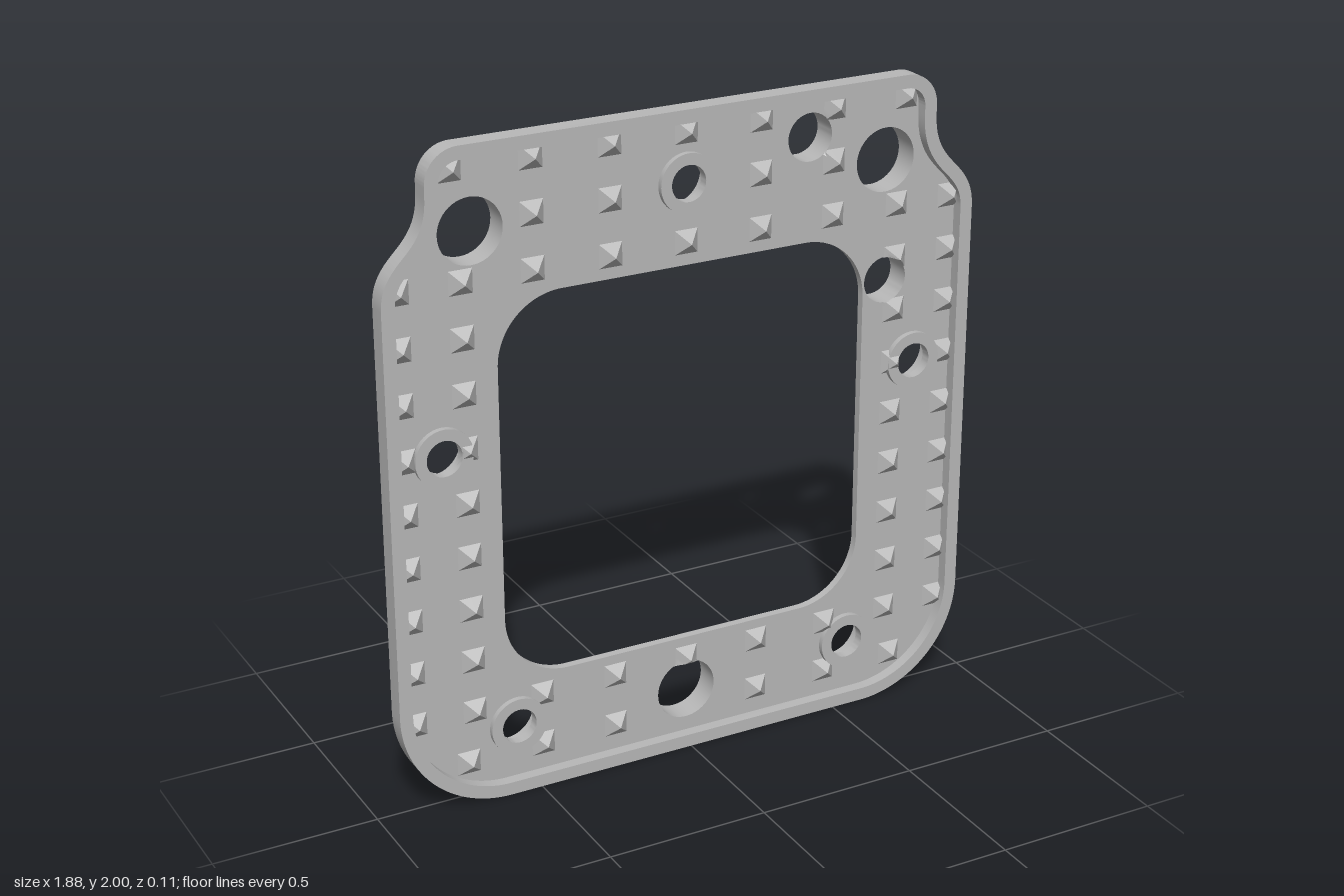
import * as THREE from 'three';
import { mergeGeometries, toCreasedNormals } from 'three/addons/utils/BufferGeometryUtils.js';

const BACK = -0.055, MID = 0, FLOOR = 0.025, FRONT = 0.06;
const RIM = 0.04, FLARE = 0.05, WIN = 0.59, WIN_Y = 0.945;
const BOSS_R = 0.088, BORE_R = 0.054;

// through holes and screw bosses: [x, y, radius]
const notch = [0.665, 1.375, 0.071];
const holes = [[-0.66, 1.745, 0.097], [0.655, 1.745, 0.097], [0.4, 1.85, 0.072], [0, 0.18, 0.095]];
const bosses = [[0, 1.78], [-0.765, 1.105], [0.765, 1.105], [-0.56, 0.21], [0.555, 0.21]];

const circle = (x, y, r, n = 48) => Array.from({ length: n }, (_, i) => {
  const a = (i / n) * Math.PI * 2;
  return new THREE.Vector3(x + r * Math.cos(a), y + r * Math.sin(a), 0);
});
const atZ = (pts, z) => pts.map((p) => new THREE.Vector3(p.x, p.y, z));

// moves a counterclockwise contour outwards by d
function offset(pts, d) {
  const n = pts.length;
  return pts.map((p, i) => {
    const a = pts[(i + n - 1) % n], b = pts[(i + 1) % n];
    const l = Math.hypot(b.x - a.x, b.y - a.y);
    return new THREE.Vector3(p.x + (d * (b.y - a.y)) / l, p.y - (d * (b.x - a.x)) / l, 0);
  });
}

// skins a stack of closed loops
function loft(loops) {
  const pos = [], n = loops[0].length;
  for (let k = 0; k < loops.length - 1; k++) {
    for (let i = 0; i < n; i++) {
      const j = (i + 1) % n;
      const a = loops[k][i], b = loops[k][j], c = loops[k + 1][j], d = loops[k + 1][i];
      for (const v of [a, b, c, a, c, d]) pos.push(v.x, v.y, v.z);
    }
  }
  const g = new THREE.BufferGeometry();
  g.setAttribute('position', new THREE.Float32BufferAttribute(pos, 3));
  return toCreasedNormals(g, 0.5);
}

// flat face with cut-outs
function face(outer, cuts, z, flip = false) {
  const to2 = (pts) => pts.map((p) => new THREE.Vector2(p.x, p.y));
  const shape = new THREE.Shape(to2(outer));
  shape.holes = cuts.map((c) => new THREE.Path(to2(c)));
  const g = new THREE.ShapeGeometry(shape);
  if (flip) g.index.array.reverse();
  g.translate(0, 0, z);
  const flat = g.toNonIndexed();
  flat.deleteAttribute('uv');
  flat.computeVertexNormals();
  return flat;
}

// outer contour: right half, then mirrored
function outline() {
  const p = new THREE.Path();
  p.moveTo(0.6, 0);
  p.absarc(0.6, 0.34, 0.34, -Math.PI / 2, 0, false);
  p.lineTo(0.94, 1.57);
  p.bezierCurveTo(0.94, 1.64, 0.91, 1.675, 0.867, 1.718);
  p.bezierCurveTo(0.825, 1.76, 0.803, 1.8, 0.803, 1.87);
  p.lineTo(0.803, 1.9);
  p.absarc(0.703, 1.9, 0.1, 0, Math.PI / 2, false);
  const right = p.getPoints(16).filter((q, i, a) => !i || q.distanceTo(a[i - 1]) > 1e-4);
  return [...right, ...right.map((q) => new THREE.Vector2(-q.x, q.y)).reverse()];
}

// rounded window contour
function windowLoop() {
  const p = new THREE.Path(), r = 0.2, c = WIN - r;
  p.moveTo(-c, WIN_Y - WIN);
  p.absarc(c, WIN_Y - c, r, -Math.PI / 2, 0, false);
  p.absarc(c, WIN_Y + c, r, 0, Math.PI / 2, false);
  p.absarc(-c, WIN_Y + c, r, Math.PI / 2, Math.PI, false);
  p.absarc(-c, WIN_Y - c, r, Math.PI, Math.PI * 1.5, false);
  p.closePath();
  return p.getSpacedPoints(400).slice(0, -1);
}

// depth of the window bevel on the side the notch hole cuts
const bevelZ = (x) => THREE.MathUtils.clamp((BACK * (x - WIN)) / FLARE, BACK, MID);

// slides contour points inside the notch hole to its left (-1) or right (+1) edge
function aroundNotch(pts, side) {
  const [cx, cy, r] = notch;
  return pts.map((p) => {
    if (Math.hypot(p.x - cx, p.y - cy) >= r) return p.clone();
    const x = cx + side * Math.sqrt(r * r - (p.y - cy) ** 2);
    return new THREE.Vector3(x, p.y, side < 0 ? bevelZ(x) : p.z);
  });
}

// four-sided stud, trimmed where it would hang over a hole
function stud(x, y) {
  const s = 0.036, h = 0.034, per = 6;
  const corners = [[-1, -1], [1, -1], [1, 1], [-1, 1]];
  const square = [];
  corners.forEach(([ax, ay], i) => {
    const [bx, by] = corners[(i + 1) % 4];
    for (let k = 0; k < per; k++) square.push([ax + ((bx - ax) * k) / per, ay + ((by - ay) * k) / per]);
  });
  const cuts = [...holes, notch, ...bosses.map(([bx, by]) => [bx, by, BORE_R])];
  const loops = [1, 0.8, 0.6, 0.4, 0.2, 0].map((f) => square.map(([u, v]) => {
    const p = new THREE.Vector3(x + u * s * f, y + v * s * f, FLOOR + h * (1 - f));
    for (const [cx, cy, r] of cuts) {
      const d = Math.hypot(p.x - cx, p.y - cy);
      if (d < r) {
        p.x = cx + ((p.x - cx) * r) / d;
        p.y = cy + ((p.y - cy) * r) / d;
      }
    }
    return p;
  }));
  return loft(loops);
}

export function createModel() {
  const group = new THREE.Group();
  const grey = new THREE.MeshStandardMaterial({ color: 0xb8b8b8 });
  grey.name = 'grey';
  const add = (name, parts) => {
    const mesh = new THREE.Mesh(mergeGeometries(parts), grey);
    mesh.name = name;
    group.add(mesh);
  };

  const outer = outline(), inner = offset(outer, -RIM);
  const win = windowLoop(), winBack = atZ(offset(win, FLARE), BACK);
  const round = holes.map((h) => circle(...h));

  // bevelled outer edge and raised front rim
  add('outerRim', [loft([atZ(inner, BACK), atZ(outer, MID), atZ(outer, FRONT), atZ(inner, FRONT), atZ(inner, FLOOR)])]);

  // recessed front floor and flat back
  const bossCuts = bosses.map(([x, y]) => circle(x, y, BOSS_R));
  add('frontFloor', [face(inner, [win, ...round, circle(...notch), ...bossCuts], FLOOR)]);
  add('backFace', [face(inner, [aroundNotch(winBack, 1), ...round, ...bossCuts], BACK, true)]);

  // window edge, flared towards the back
  add('windowEdge', [loft([atZ(win, FLOOR), atZ(win, MID), aroundNotch(winBack, -1)])]);

  // walls of the through holes
  const notchLoop = circle(...notch);
  add('holeWalls', [
    ...round.map((c) => loft([atZ(c, FLOOR), atZ(c, BACK)])),
    loft([atZ(notchLoop, FLOOR), notchLoop.map((p) => new THREE.Vector3(p.x, p.y, bevelZ(p.x)))]),
  ]);

  // raised screw bosses, counterbored from the back
  const profile = [[BOSS_R, FLOOR], [BOSS_R, 0.042], [BORE_R, 0.042], [BORE_R, 0.01], [BOSS_R, 0.01], [BOSS_R, BACK]];
  add('screwBosses', bosses.map(([x, y]) => loft(profile.map(([r, z]) => atZ(circle(x, y, r), z)))));

  // rows of studs
  const studs = [];
  const row = (y, xs) => xs.forEach((x) => studs.push(stud(x, y)));
  const sides = [-0.88, -0.693, 0.697, 0.877];
  const across = [-0.477, -0.238, 0.24, 0.48];
  row(1.928, [-0.717, ...across, 0, 0.72]);
  row(1.768, across);
  row(1.605, [...sides, ...across, 0]);
  for (let i = 1; i <= 7; i++) row(1.605 - i * 0.1645, sides);
  row(0.289, [...sides, ...across, 0]);
  row(0.124, [-0.717, ...across, 0.72]);
  add('studs', studs);

  return group;
}
